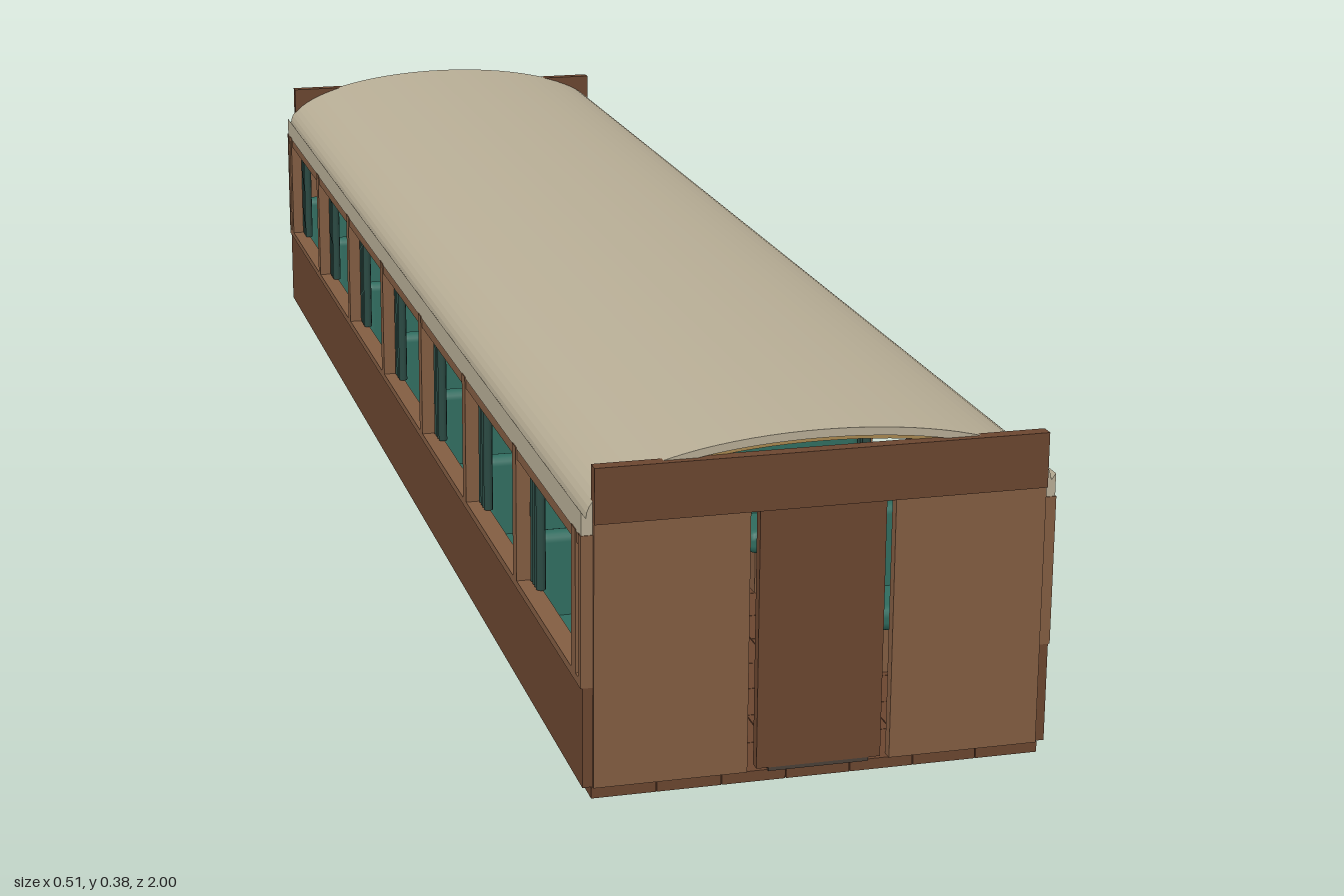
import * as THREE from 'three';
import { RoundedBoxGeometry } from 'three/addons/geometries/RoundedBoxGeometry.js';

const mat = (color, side = THREE.FrontSide) => new THREE.MeshStandardMaterial({ color, side });
const DARK = mat(0x6b4630), WOOD = mat(0x835d42), TEAL = mat(0x2f6b5e), CURTAIN = mat(0x2b4a43);
const CREAM = mat(0xb8ae96), GOLD = mat(0xa98850), IRON = mat(0x4a4038);
const PITCH = 0.275;
const BAYS = [-3, -2, -1, 0, 1, 2, 3].map(i => i * PITCH);
const POSTS = [-3.5, -2.5, -1.5, -0.5, 0.5, 1.5, 2.5, 3.5].map(i => i * PITCH);
const DOOR = [-0.905, -0.745];

function add(parent, name, geometry, material, x = 0, y = 0, z = 0) {
  const m = new THREE.Mesh(geometry, material);
  m.name = name;
  m.position.set(x, y, z);
  parent.add(m);
  return m;
}

// box given by its limits on each axis
function box(parent, name, material, x0, x1, y0, y1, z0, z1) {
  return add(parent, name, new THREE.BoxGeometry(Math.abs(x1 - x0), y1 - y0, Math.abs(z1 - z0)), material,
    (x0 + x1) / 2, (y0 + y1) / 2, (z0 + z1) / 2);
}

function group(parent, name) {
  const g = new THREE.Group();
  g.name = name;
  parent.add(g);
  return g;
}

// closed strip between two elliptical arcs, extruded along the car
function archGeometry(a, b, cy, thickness, length, eave) {
  const outer = [], inner = [];
  for (let i = 0; i <= 40; i++) {
    const t = Math.PI * i / 40;
    outer.push(new THREE.Vector2(a * Math.cos(t), cy + b * Math.sin(t)));
    inner.unshift(new THREE.Vector2((a - thickness) * Math.cos(t), cy + (b - thickness) * Math.sin(t)));
  }
  if (eave) {
    outer.unshift(new THREE.Vector2(0.255, 0.285), new THREE.Vector2(0.255, 0.312));
    outer.push(new THREE.Vector2(-0.255, 0.312), new THREE.Vector2(-0.255, 0.285));
    inner.unshift(new THREE.Vector2(thickness - a, 0.285));
    inner.push(new THREE.Vector2(a - thickness, 0.285));
  }
  const g = new THREE.ExtrudeGeometry(new THREE.Shape([...outer, ...inner]),
    { depth: length, bevelEnabled: false });
  return g.translate(0, 0, -length / 2);
}

// bench facing the front, one per bay and side
function buildSeat(parent, side, z) {
  const seat = group(parent, 'seat');
  seat.position.set(side * 0.153, 0, z);
  add(seat, 'seatCushion', new RoundedBoxGeometry(0.165, 0.03, 0.09, 2, 0.012), TEAL, 0, 0.08, 0.055);
  const back = add(seat, 'seatBack', new RoundedBoxGeometry(0.165, 0.115, 0.026, 2, 0.012), TEAL, 0, 0.132, 0.016);
  back.rotation.x = -0.08;
  box(seat, 'seatBase', WOOD, -0.07, 0.07, 0.012, 0.066, 0.015, 0.085);
}

function buildSide(parent, side) {
  const wall = group(parent, side > 0 ? 'leftSide' : 'rightSide');
  const xi = side * 0.242, xo = side * 0.254;
  // lower wall, open at the doorway on one side only
  const spans = side > 0 ? [[-0.993, DOOR[0]], [DOOR[1], 0.993]] : [[-0.993, 0.993]];
  for (const [a, b] of spans) {
    box(wall, 'lowerWall', DARK, xi, xo, 0.012, 0.122, a, b);
    box(wall, 'windowSill', WOOD, side * 0.234, side * 0.256, 0.122, 0.131, a, b);
  }
  box(wall, 'topRail', WOOD, side * 0.24, side * 0.2545, 0.273, 0.29, -0.99, 0.99);
  box(wall, 'railTrim', GOLD, side * 0.238, side * 0.252, 0.27, 0.274, -0.99, 0.99);
  for (const z of [...POSTS, -0.988, 0.988]) {
    const w = Math.abs(z) > 0.98 ? 0.005 : 0.009;
    if (!(side > 0 && z < -0.93 && z > -0.98))
      box(wall, 'windowPost', WOOD, side * 0.24, side * 0.256, 0.122, 0.287, z - w, z + w);
  }
  if (side > 0) {
    // door frame
    box(wall, 'doorJamb', DARK, 0.238, 0.257, 0.012, 0.285, DOOR[0] - 0.018, DOOR[0]);
    box(wall, 'doorJamb', DARK, 0.238, 0.257, 0.012, 0.285, DOOR[1], DOOR[1] + 0.012);
    box(wall, 'doorLintel', DARK, 0.238, 0.257, 0.277, 0.287, DOOR[0] - 0.018, DOOR[1] + 0.012);
    box(wall, 'doorStep', WOOD, 0.232, 0.254, 0.012, 0.022, ...DOOR);
  }
  // curtains gathered beside every post, as small round folds
  const fold = new THREE.CylinderGeometry(0.0055, 0.0055, 0.14, 8);
  for (const z of BAYS) for (const e of [-1, 1]) {
    const doorway = side > 0 && z < -0.8;
    if (doorway && e > 0) continue;
    const edge = doorway ? -0.925 : z + e * (PITCH / 2 - 0.012);
    for (let k = 0; k < 4; k++)
      add(wall, 'curtainFold', fold, CURTAIN, side * 0.236, 0.202, edge - e * (0.004 + k * 0.009));
  }
  // luggage rack under the eave
  for (const z of BAYS) box(wall, 'rackBracket', IRON, side * 0.175, side * 0.242, 0.268, 0.284, z - 0.002, z + 0.002);
  for (const x of [0.175, 0.197, 0.219])
    box(wall, 'rackRail', IRON, side * (x - 0.002), side * (x + 0.002), 0.284, 0.288, -0.96, 0.96);
  // seats and tables
  for (const z of BAYS) {
    if (side > 0 && z < -0.8) continue;
    buildSeat(wall, side, z - PITCH / 2);
    box(wall, 'tableTop', WOOD, side * 0.14, side * 0.24, 0.108, 0.114, z + 0.03, z + 0.09);
    box(wall, 'tableLeg', IRON, side * 0.182, side * 0.19, 0.012, 0.108, z + 0.056, z + 0.064);
  }
}

function buildEnd(parent, e) {
  const end = group(parent, e > 0 ? 'frontEnd' : 'backEnd');
  const z0 = e * 0.985, z1 = e * 0.997;
  for (const s of [-1, 1]) box(end, 'endPanel', WOOD, s * 0.078, s * 0.243, 0.012, 0.3, z0, z1);
  box(end, 'endDoor', DARK, -0.068, 0.068, 0.015, 0.3, z0, z1);
  box(end, 'endHeader', DARK, -0.243, 0.243, 0.3, 0.36, z0, e);
  box(end, 'threshold', IRON, -0.055, 0.055, 0.011, 0.015, e * 0.97, z1);
}

export function createModel() {
  const car = new THREE.Group();
  car.name = 'railwayCarriage';

  // floor boards
  const floor = group(car, 'floor');
  box(floor, 'floorBase', DARK, -0.243, 0.243, 0.003, 0.011, -0.985, 0.985);
  const board = new THREE.BoxGeometry(0.0692, 0.012, 0.0702);
  for (let i = 0; i < 7; i++) for (let j = 0; j < 28; j++)
    add(floor, 'floorBoard', board, DARK, (i - 3) * 0.0702, 0.006, (j - 13.5) * 0.0711);

  buildSide(car, 1);
  buildSide(car, -1);
  buildEnd(car, 1);
  buildEnd(car, -1);

  // roof shell, ceiling ribs and lamps
  const roof = group(car, 'roof');
  add(roof, 'roofShell', archGeometry(0.25, 0.075, 0.305, 0.009, 1.984, true), CREAM);
  const rib = archGeometry(0.241, 0.066, 0.305, 0.005, 0.014, false);
  for (const z of [...POSTS, -0.98, 0.98]) add(roof, 'ceilingRib', rib, GOLD, 0, 0, z);
  const lamp = new THREE.CylinderGeometry(0.021, 0.017, 0.012, 20);
  for (const z of BAYS) add(roof, 'ceilingLamp', lamp, WOOD, 0, 0.363, z);

  return car;
}
